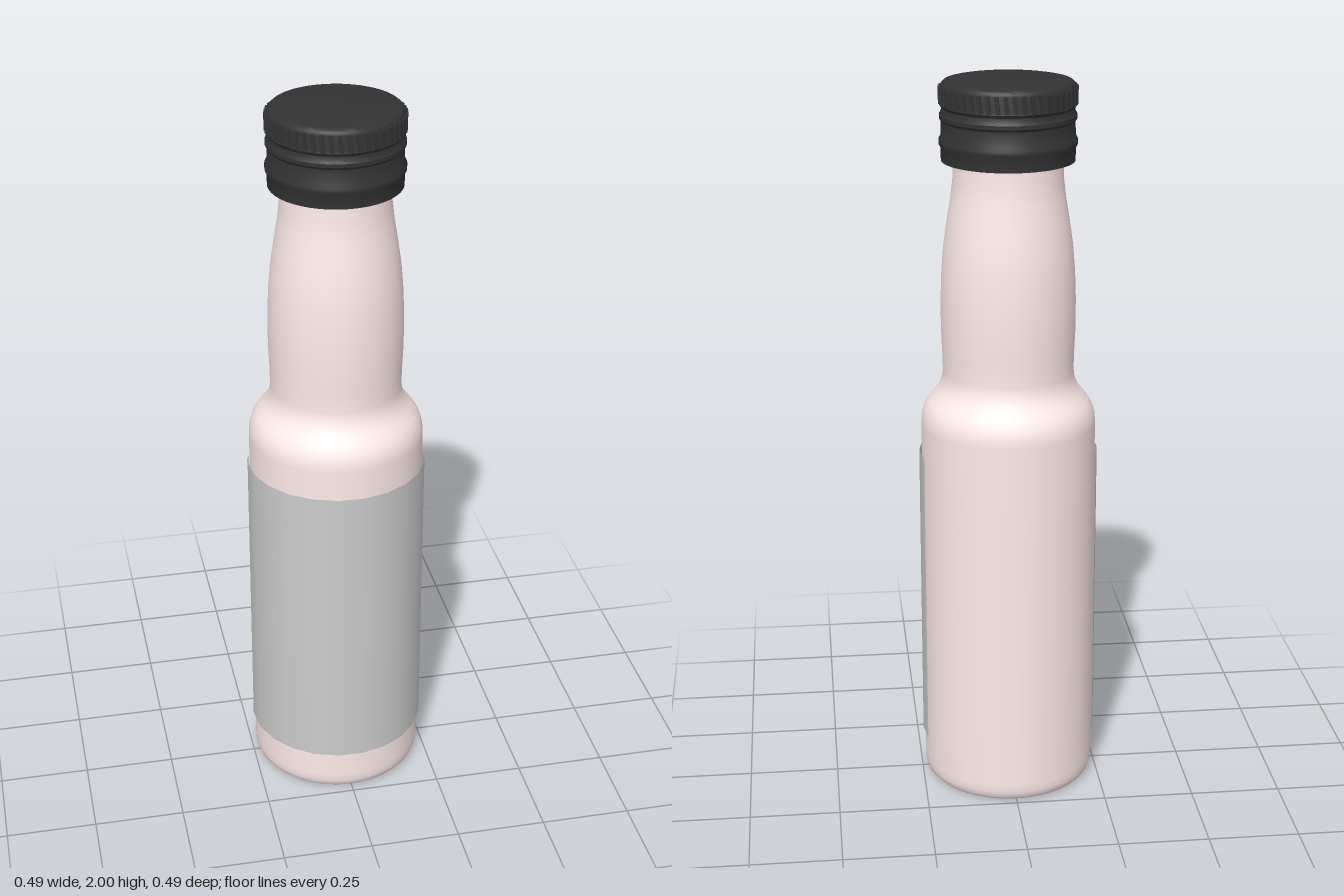
import * as THREE from 'three';
import { mergeGeometries, toCreasedNormals } from 'three/addons/utils/BufferGeometryUtils.js';

const rad = THREE.MathUtils.degToRad;
const points = (list) => list.map(([r, y]) => new THREE.Vector2(r, y));

export function createModel() {
  const model = new THREE.Group();
  model.name = 'bottle';

  const glass = new THREE.MeshStandardMaterial({ color: 0xfdebe9 });
  const dark = new THREE.MeshStandardMaterial({ color: 0x333333 });
  const grey = new THREE.MeshStandardMaterial({ color: 0xcccccc, side: THREE.DoubleSide });

  const add = (name, geometry, material) => {
    const mesh = new THREE.Mesh(geometry, material);
    mesh.name = name;
    mesh.position.z = -0.004;
    model.add(mesh);
    return mesh;
  };

  // Bottle: hollowed base, straight body, rounded shoulder and bulged neck
  const bottle = new THREE.LatheGeometry(points([
    [0, 0.05], [0.08, 0.046], [0.15, 0.034], [0.19, 0.016], [0.205, 0.004],
    [0.215, 0], [0.226, 0.003], [0.234, 0.012], [0.239, 0.028], [0.24, 0.05],
    [0.24, 0.4], [0.24, 0.75], [0.24, 1.06], [0.238, 1.085], [0.231, 1.108],
    [0.219, 1.128], [0.203, 1.147], [0.19, 1.166], [0.182, 1.188], [0.179, 1.21],
    [0.18, 1.26], [0.183, 1.33], [0.183, 1.41], [0.18, 1.49], [0.174, 1.56],
    [0.164, 1.63], [0.154, 1.69], [0.148, 1.74], [0.146, 1.8], [0.146, 1.9],
  ]), 64);
  add('bottleBody', bottle, glass);

  // Label wrapped around the front, open at the back
  add('label', new THREE.CylinderGeometry(
    0.247, 0.247, 0.855, 13, 1, true, rad(-109), rad(214.5),
  ).translate(0, 0.5525, 0), grey);

  // Screw cap with a beaded skirt, grooves and a rounded top edge
  const cap = new THREE.LatheGeometry(points([
    [0.144, 1.84], [0.168, 1.835], [0.172, 1.79], [0.178, 1.79], [0.179, 1.825],
    [0.184, 1.835], [0.184, 1.846], [0.178, 1.856], [0.177, 1.895],
    [0.182, 1.902], [0.182, 1.912], [0.177, 1.919], [0.176, 1.93],
    [0.181, 1.938], [0.179, 1.945], [0.179, 1.983], [0.176, 1.992],
    [0.17, 1.998], [0.16, 2], [0, 2],
  ]), 64);
  add('cap', toCreasedNormals(cap, rad(35)), dark);

  // Slightly slanted grip ribs around the top of the cap
  const ribs = [];
  const ribCount = 48;
  for (let i = 0; i < ribCount; i++) {
    ribs.push(new THREE.BoxGeometry(0.011, 0.046, 0.012)
      .rotateZ(0.12)
      .translate(0, 1.963, 0.178)
      .rotateY((i / ribCount) * Math.PI * 2));
  }
  add('capRibs', mergeGeometries(ribs), dark);

  return model;
}
